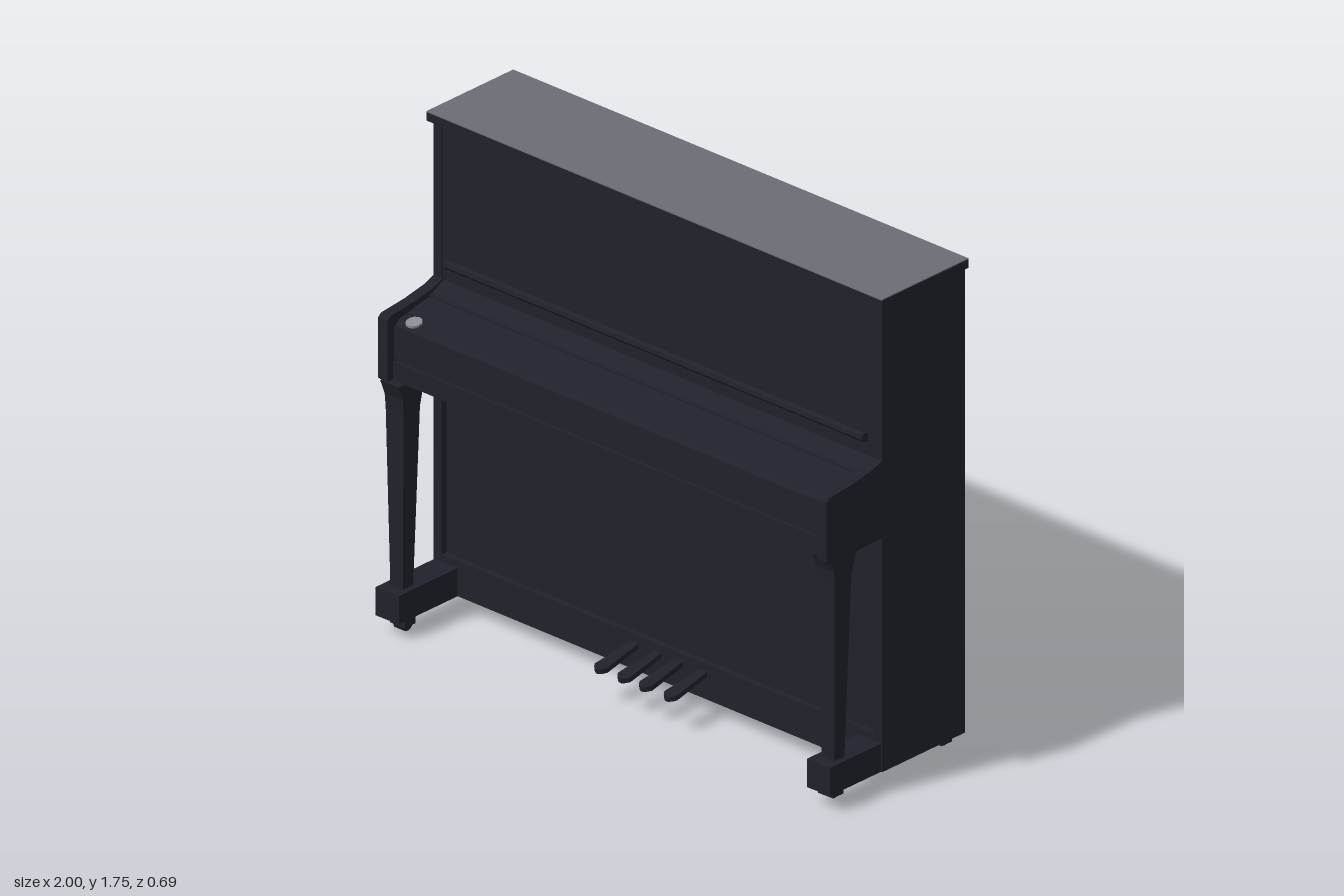
import * as THREE from 'three';

export function createModel() {
  const piano = new THREE.Group();
  piano.name = 'uprightPiano';

  const material = (name, color) => {
    const m = new THREE.MeshStandardMaterial({ color });
    m.name = name;
    return m;
  };
  const ebony = material('ebony', 0x21212c);
  const grey = material('lidGrey', 0x6b6d75);
  const silver = material('lockSilver', 0x8a8c92);

  // Cabinet parts lean slightly backwards towards the -x side.
  const skew = new THREE.Matrix4().set(1, 0, 0, 0, 0, 1, 0, 0, 0.02, 0, 1, 0, 0, 0, 0, 1);

  function add(name, geometry, mat = ebony, skewed = true) {
    if (skewed) {
      geometry.applyMatrix4(skew);
      geometry.computeVertexNormals();
    }
    const mesh = new THREE.Mesh(geometry, mat);
    mesh.name = name;
    piano.add(mesh);
    return mesh;
  }

  // Box given by its limits on each axis
  const box = (x0, x1, y0, y1, z0, z1) =>
    new THREE.BoxGeometry(x1 - x0, y1 - y0, z1 - z0)
      .translate((x0 + x1) / 2, (y0 + y1) / 2, (z0 + z1) / 2);

  // Side profile of [z, y] points, extruded from x0 to x1
  function profile(points, x0, x1) {
    const shape = new THREE.Shape(points.map(([z, y]) => new THREE.Vector2(z, y)));
    return new THREE.ExtrudeGeometry(shape, { depth: x1 - x0, bevelEnabled: false })
      .rotateY(-Math.PI / 2).translate(x1, 0, 0);
  }

  // Cabinet
  add('cabinetCore', box(-0.95, 0.95, 0.06, 1.71, -0.33, 0.04));
  add('upperPanel', box(-0.95, 0.95, 0.95, 1.71, 0.03, 0.058));
  add('bottomRail', box(-0.95, 0.95, 0.06, 0.185, 0.03, 0.062));
  for (const s of [-1, 1]) {
    add('sidePanel', box(s * 0.9675 - 0.0175, s * 0.9675 + 0.0175, 0.06, 1.712, -0.33, 0.062));
  }

  // Lid with its lighter upper face
  add('lidEdge', box(-1, 1, 1.712, 1.742, -0.33, 0.08));
  add('lidTop', box(-1, 1, 1.742, 1.746, -0.33, 0.08), grey);

  // Fallboard, key slip and the grooves between them
  add('fallboard', profile([[0.05, 0.89], [0.285, 0.89], [0.285, 1.08], [0.27, 1.095],
    [0.12, 1.125], [0.06, 1.16], [0.05, 1.16]], -0.946, 0.946));
  add('keySlip', box(-0.946, 0.946, 0.89, 0.955, 0.28, 0.298));
  add('fallboardLip', box(-0.946, 0.946, 0.964, 1.08, 0.28, 0.293));
  add('fallboardHinge', box(-0.946, 0.946, 1.118, 1.13, 0.11, 0.128));
  add('musicLedge', profile([[0.05, 1.213], [0.078, 1.213], [0.088, 1.224], [0.086, 1.238],
    [0.076, 1.246], [0.05, 1.235]], -0.92, 0.92));

  // Round lock on the fallboard
  const lock = add('lock', new THREE.CylinderGeometry(0.028, 0.028, 0.008, 10), silver, false);
  lock.position.set(-0.885, 1.1, 0.245);
  lock.rotation.x = 0.2;

  // Arms, legs and toe blocks on both sides
  const armPoints = [[0.05, 0.89], [0.315, 0.886], [0.325, 0.895], [0.325, 1.108], [0.312, 1.12],
    [0.2, 1.131], [0.11, 1.147], [0.06, 1.165], [0.05, 1.165]];
  const legPoints = [[0.23, 0.155], [0.278, 0.155], [0.288, 0.79], [0.292, 0.84], [0.312, 0.892],
    [0.175, 0.892], [0.197, 0.85], [0.21, 0.79]];
  for (const s of [-1, 1]) {
    add('arm', profile(armPoints, s * 0.965 - 0.02, s * 0.965 + 0.02));

    const leg = profile(legPoints, -0.04, 0.04);
    const p = leg.attributes.position;
    for (let i = 0; i < p.count; i++) {
      const t = THREE.MathUtils.clamp((p.getY(i) - 0.155) / 0.735, 0, 1);
      p.setX(i, p.getX(i) * (0.68 + 0.32 * t) + s * 0.93);
    }
    leg.computeVertexNormals();
    add('leg', leg, ebony, false);
    add('toeBlock', box(s * 0.93 - 0.05, s * 0.93 + 0.05, 0.06, 0.16, 0.04, 0.323), ebony, false);
  }

  // Casters, the rear one at -x standing lowest
  for (const [x, z, bottom] of [[-0.915, 0.265, 0.012], [0.93, 0.265, 0.025],
    [-0.915, -0.3, 0], [0.93, -0.25, 0.025]]) {
    add('casterFork', box(x - 0.032, x + 0.032, 0.034, 0.062, z - 0.025, z + 0.025), ebony, false);
    const r = (0.06 - bottom) / 2;
    add('casterWheel', new THREE.CylinderGeometry(r, r, 0.042, 14)
      .rotateZ(Math.PI / 2).translate(x, bottom + r, z), ebony, false);
  }

  // Four pedals, flaring towards the player
  const pedalShape = new THREE.Shape();
  pedalShape.moveTo(-0.015, 0);
  pedalShape.lineTo(-0.026, 0.17);
  pedalShape.quadraticCurveTo(0, 0.215, 0.026, 0.17);
  pedalShape.lineTo(0.015, 0);
  for (const x of [-0.1, 0, 0.093, 0.2]) {
    const pedal = new THREE.ExtrudeGeometry(pedalShape, { depth: 0.018, bevelEnabled: false, curveSegments: 5 })
      .rotateX(Math.PI / 2 + 0.16).translate(x, 0.16, 0.055);
    add('pedal', pedal, ebony, false);
  }

  return piano;
}
